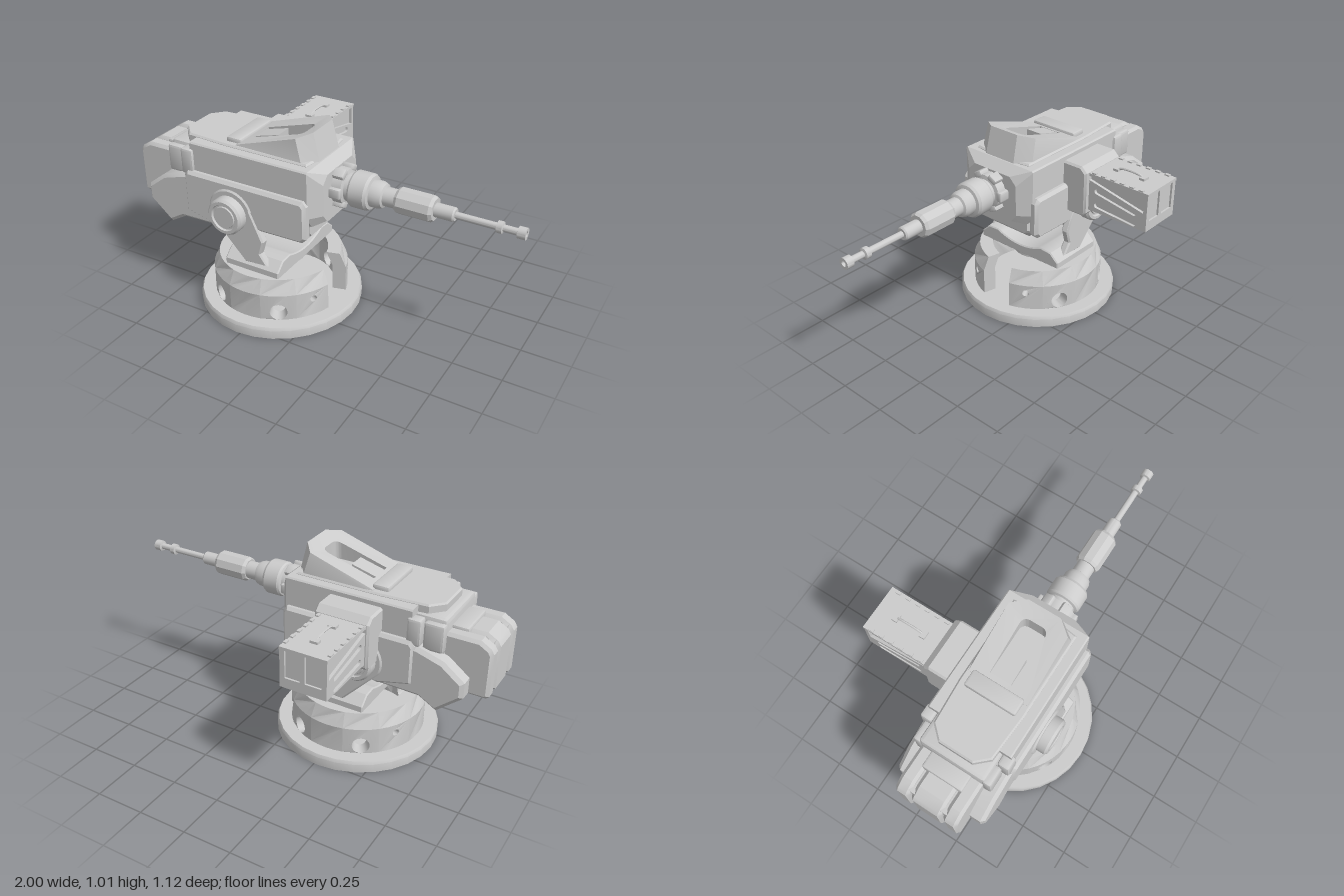
import * as THREE from 'three';
import { toCreasedNormals } from 'three/addons/utils/BufferGeometryUtils.js';
import { ConvexGeometry } from 'three/addons/geometries/ConvexGeometry.js';
import { RoundedBoxGeometry } from 'three/addons/geometries/RoundedBoxGeometry.js';

const V = (x, y) => new THREE.Vector2(x, y);
const shapeOf = (pts) => new THREE.Shape(pts.map(([x, y]) => V(x, y)));

function extrude(shape, depth, bevel = 0) {
  return new THREE.ExtrudeGeometry(shape, {
    depth: depth - 2 * bevel, bevelEnabled: bevel > 0, bevelSize: bevel, bevelThickness: bevel,
    bevelOffset: -bevel, bevelSegments: 1, curveSegments: 12,
  }).translate(0, 0, bevel);
}
// xy profile spanning z0..z1
const alongZ = (shape, z0, z1, bevel) => extrude(shape, z1 - z0, bevel).translate(0, 0, z0);
// zy profile spanning x0..x1
const alongX = (shape, x0, x1, bevel) =>
  extrude(shape, x1 - x0, bevel).rotateY(-Math.PI / 2).translate(x1, 0, 0);
// plan outline in x and z, spanning y0..y1
const alongY = (shape, y0, y1, bevel) =>
  extrude(shape, y1 - y0, bevel).rotateX(-Math.PI / 2).translate(0, y0, 0);
const box = (x0, x1, y0, y1, z0, z1, r = 0) =>
  (r ? new RoundedBoxGeometry(x1 - x0, y1 - y0, z1 - z0, 1, r) : new THREE.BoxGeometry(x1 - x0, y1 - y0, z1 - z0))
    .translate((x0 + x1) / 2, (y0 + y1) / 2, (z0 + z1) / 2);
const lathe = (pts, n) => new THREE.LatheGeometry(pts.map(([r, y]) => V(r, y)), n);

export function createModel() {
  const root = new THREE.Group();
  root.name = 'turret';
  const mat = new THREE.MeshStandardMaterial({ color: 0xcccccc, side: THREE.DoubleSide });
  const group = (name, x, z) => {
    const g = new THREE.Group();
    g.name = name;
    g.position.set(x, 0, z);
    root.add(g);
    return g;
  };
  const add = (parent, name, geo, crease = 0.5) => {
    const m = new THREE.Mesh(toCreasedNormals(geo, crease), mat);
    m.name = name;
    parent.add(m);
  };

  // Round base: flange plus a hollow drum of twelve bent panels, one left out as a slot
  const base = group('base', -0.27, 0.14);
  add(base, 'baseFlange', lathe([[0, 0.025], [0.33, 0.025], [0.335, 0.012], [0.365, 0.012], [0.37, 0],
    [0.42, 0], [0.42, 0.045], [0.412, 0.06], [0, 0.06]], 28));
  const R = 0.345, wall = 0.07;
  const drumPanel = (angle, y0, y1, hole) => {
    const half = R * Math.PI / 12, pts = [];
    for (let i = 0; i <= 4; i++) pts.push([-half + half * i / 2, y0]);
    for (let i = 4; i >= 0; i--) pts.push([-half + half * i / 2, y1]);
    const s = shapeOf(pts);
    if (hole) s.holes.push(new THREE.Path().absarc(0, hole[0], hole[1], 0, Math.PI * 2, true));
    const g = extrude(s, wall), p = g.attributes.position;
    for (let i = 0; i < p.count; i++) {
      const a = angle + p.getX(i) / R, y = p.getY(i);
      const r = R - wall + p.getZ(i) - Math.max(0, y - 0.2) * 0.42;
      p.setXYZ(i, r * Math.sin(a), y, r * Math.cos(a));
    }
    return g;
  };
  const big = [0.105, 0.044], small = [0.155, 0.018];
  const holes = [null, big, small, null, small, big, null, big, small, null, small, big];
  holes.forEach((hole, i) => {
    if (i === 3) return;
    add(base, 'drumWall', drumPanel(i * Math.PI / 6, 0.06, 0.2, hole));
    add(base, 'drumRim', drumPanel(i * Math.PI / 6, 0.2, 0.275, null));
  });

  // Everything on the swivel is laid out around the gun's centre plane
  const gun = group('gunAssembly', 0, 0.14);
  const bothSides = (name, make) => {
    for (const s of [1, -1]) add(gun, name, make(s));
  };
  const sideSlab = (pts, a, b, bevel) => (s) =>
    alongZ(shapeOf(pts), s > 0 ? a : -b, s > 0 ? b : -a, bevel);

  // Saddle with a concave top
  const saddle = shapeOf([[-0.265, 0.27], [0.265, 0.27], [0.265, 0.305], [0.215, 0.35], [0.15, 0.355]]);
  saddle.quadraticCurveTo(0, 0.287, -0.15, 0.355);
  saddle.lineTo(-0.215, 0.35);
  saddle.lineTo(-0.265, 0.305);
  add(gun, 'saddle', alongX(saddle, -0.425, -0.115, 0.006));
  add(gun, 'swivelHub', new THREE.CylinderGeometry(0.13, 0.13, 0.06, 24).translate(-0.27, 0.27, 0));

  // Yoke arms and pivots
  const arm = new THREE.Shape();
  arm.moveTo(-0.31, 0.31);
  [[-0.18, 0.32], [-0.22, 0.38], [-0.2, 0.45], [-0.27, 0.6]].forEach(([x, y]) => arm.lineTo(x, y));
  arm.absarc(-0.385, 0.565, 0.125, 0.28, 3.6, false);
  bothSides('yokeArm', (s) => alongZ(arm, s > 0 ? 0.215 : -0.258, s > 0 ? 0.258 : -0.215, 0.008));
  bothSides('pivotBoss', (s) => lathe([[0, 0.2], [0.095, 0.2], [0.095, 0.3], [0.085, 0.312], [0.07, 0.312],
    [0.066, 0.302], [0.058, 0.302], [0.055, 0.308], [0, 0.308]], 28)
    .rotateX(s * Math.PI / 2).translate(-0.385, 0.565, 0));

  // Main receiver body with a tapered front
  const section = (x, w, wb, y0, y1, y2, y3, c) => [1, -1].flatMap((s) =>
    [[wb, y0], [w, y1], [w, y2], [w - c, y3]].map(([z, y]) => new THREE.Vector3(x, y, s * z)));
  add(gun, 'mainBody', new ConvexGeometry([
    ...section(-0.63, 0.22, 0.18, 0.57, 0.63, 0.865, 0.872, 0.007),
    ...section(0.03, 0.22, 0.18, 0.57, 0.63, 0.865, 0.872, 0.007),
    ...section(0.08, 0.155, 0.125, 0.59, 0.63, 0.79, 0.83, 0.04)]), 0.1);
  add(gun, 'lowerBody', new ConvexGeometry([
    ...section(-0.62, 0.17, 0.12, 0.44, 0.48, 0.56, 0.58, 0),
    ...section(-0.06, 0.17, 0.12, 0.44, 0.48, 0.56, 0.58, 0),
    ...section(0.01, 0.165, 0.15, 0.5, 0.52, 0.56, 0.58, 0)]), 0.1);

  // Side armour and the deep rear skirts
  bothSides('sideArmour', sideSlab([[-0.66, 0.7], [-0.66, 0.5], [-0.48, 0.455], [-0.25, 0.5], [0.01, 0.505],
    [0.035, 0.53], [0.035, 0.7], [0.015, 0.725], [-0.64, 0.725]], 0.195, 0.25, 0.015));
  bothSides('rearSkirt', sideSlab([[-0.905, 0.5], [-0.78, 0.393], [-0.69, 0.445], [-0.48, 0.45], [-0.48, 0.7],
    [-0.67, 0.7], [-0.8, 0.66], [-0.905, 0.58]], 0.09, 0.24, 0.018));

  // Rear body, vents and ribbed tail
  add(gun, 'rearBody', box(-0.78, -0.6, 0.46, 0.84, -0.175, 0.175, 0.02));
  bothSides('rearVent', (s) => box(-0.68, -0.61, 0.7, 0.835, s * 0.205 - 0.03, s * 0.205 + 0.03, 0.012));
  bothSides('rearShoulder', (s) => box(-0.78, -0.68, 0.68, 0.82, s * 0.18 - 0.025, s * 0.18 + 0.025, 0.012));
  add(gun, 'tailBridge', box(-0.86, -0.75, 0.7, 0.79, -0.107, 0.107, 0.01));
  const tail = shapeOf([[-0.985, 0.488], [-0.74, 0.488], [-0.74, 0.775], [-0.935, 0.775], [-0.985, 0.745],
    [-1, 0.72], [-1, 0.5]]);
  for (const [a, b] of [[-0.165, -0.09], [-0.08, 0.08], [0.09, 0.165]])
    add(gun, 'tailModule', alongZ(tail, a, b, 0.015));
  add(gun, 'tailCore', box(-0.975, -0.74, 0.5, 0.75, -0.14, 0.14));

  // Top plate, hinge bar and sloped hood with a rounded pocket
  add(gun, 'topPlate', alongY(shapeOf([[-0.74, -0.09], [-0.68, -0.155], [-0.45, -0.17], [0, -0.17], [0.01, -0.1],
    [0.01, 0.1], [0, 0.17], [-0.45, 0.17], [-0.68, 0.155], [-0.74, 0.09]]), 0.83, 0.882, 0.008));
  add(gun, 'hingeBar', box(-0.47, -0.385, 0.86, 0.905, -0.135, 0.135, 0.01));
  const hood = shapeOf([[-0.4, -0.163], [-0.03, -0.163], [0.025, -0.09], [0.025, 0.09], [-0.03, 0.163], [-0.4, 0.163]]);
  const pocket = new THREE.Path();
  pocket.moveTo(-0.36, -0.07);
  pocket.lineTo(-0.36, 0.07);
  pocket.lineTo(-0.12, 0.07);
  pocket.quadraticCurveTo(-0.08, 0.07, -0.08, 0.03);
  pocket.lineTo(-0.08, -0.03);
  pocket.quadraticCurveTo(-0.08, -0.07, -0.12, -0.07);
  hood.holes.push(pocket);
  const hoodGeo = alongY(hood, 0, 1), hp = hoodGeo.attributes.position;
  for (let i = 0; i < hp.count; i++) {
    const x = hp.getX(i), t = hp.getY(i);
    const top = 0.888 + (x + 0.39) * 0.292;
    hp.setXYZ(i, x - (x > -0.05 ? 0.035 * t : 0), THREE.MathUtils.lerp(0.865, top, t), hp.getZ(i) * (1 - 0.05 * t));
  }
  add(gun, 'hood', hoodGeo);
  add(gun, 'pocketRib', alongZ(shapeOf([[-0.36, 0.87], [-0.23, 0.87], [-0.23, 0.93], [-0.36, 0.895]]), -0.045, 0.045));

  // Barrel, turned around the x axis
  const turn = (pts, n) => lathe(pts, n).rotateZ(-Math.PI / 2).translate(0, 0.73, 0);
  add(gun, 'barrelShroud', turn([[0, 0.05], [0.09, 0.05], [0.09, 0.13], [0.07, 0.135], [0.07, 0.155], [0.084, 0.16],
    [0.09, 0.17], [0.09, 0.245], [0.082, 0.258], [0.066, 0.262], [0.066, 0.3], [0.058, 0.32], [0.046, 0.325],
    [0.046, 0.4], [0, 0.4]], 24));
  add(gun, 'barrelSleeve', turn([[0, 0.385], [0.055, 0.385], [0.064, 0.4], [0.064, 0.56], [0.054, 0.575], [0, 0.575]], 10), 0.1);
  add(gun, 'barrelTube', turn([[0, 0.57], [0.034, 0.57], [0.034, 0.665], [0.028, 0.672], [0.016, 0.672], [0.016, 0.865],
    [0.028, 0.868], [0.028, 0.893], [0.016, 0.896], [0.016, 0.96], [0.028, 0.963], [0.028, 1], [0.014, 1],
    [0.014, 0.975], [0, 0.975]], 18));
  for (let i = 0; i < 6; i++)
    add(gun, 'collarLug', box(0.07, 0.135, 0.075, 0.107, -0.026, 0.026, 0.008)
      .rotateX(i * Math.PI / 3 + Math.PI / 6).translate(0, 0.73, 0));

  // Feed block and ammunition box on the far side
  const ammo = group('ammunitionFeed', 0, 0);
  add(ammo, 'feedBlock', alongX(shapeOf([[-0.05, 0.575], [-0.2, 0.575], [-0.217, 0.595], [-0.217, 0.815],
    [-0.185, 0.845], [-0.05, 0.845]].reverse()), -0.485, -0.205, 0.01));
  add(ammo, 'ammoBox', box(-0.455, -0.25, 0.612, 0.805, -0.55, -0.2));
  const slot = (z0, y0, z1, y1, r) => {
    const a = Math.atan2(y1 - y0, z1 - z0), p = new THREE.Path();
    p.absarc(z0, y0, r, a + Math.PI / 2, a + Math.PI * 1.5, false);
    p.absarc(z1, y1, r, a - Math.PI / 2, a + Math.PI / 2, false);
    return p;
  };
  const sidePanel = shapeOf([[-0.217, 0.61], [-0.217, 0.775], [-0.56, 0.7], [-0.56, 0.61]]);
  sidePanel.holes.push(slot(-0.265, 0.725, -0.485, 0.687, 0.014), slot(-0.265, 0.648, -0.485, 0.63, 0.014));
  for (const x of [-0.47, -0.25]) add(ammo, 'ammoSidePanel', alongX(sidePanel, x, x + 0.015));
  for (const x of [-0.47, -0.362, -0.26]) add(ammo, 'ammoEndPost', box(x, x + 0.025, 0.61, 0.8, -0.56, -0.54));
  add(ammo, 'ammoEndSill', box(-0.47, -0.235, 0.61, 0.66, -0.56, -0.54));
  add(ammo, 'ammoLid', box(-0.472, -0.233, 0.798, 0.813, -0.562, -0.2));
  for (let i = 0; i < 6; i++)
    for (const x of [-0.462, -0.243])
      add(ammo, 'lidTab', box(x - 0.008, x + 0.008, 0.81, 0.82, -0.53 + i * 0.055, -0.505 + i * 0.055));
  const path = new THREE.CatmullRomCurve3([[-0.3, 0.815], [-0.325, 0.828], [-0.43, 0.828], [-0.455, 0.815]]
    .map(([z, y]) => new THREE.Vector3(-0.352, y, z)));
  add(ammo, 'lidHandle', new THREE.TubeGeometry(path, 12, 0.006, 6));
  for (const z of [-0.3, -0.455]) add(ammo, 'handleMount', box(-0.372, -0.332, 0.81, 0.825, z - 0.015, z + 0.015));
  return root;
}
